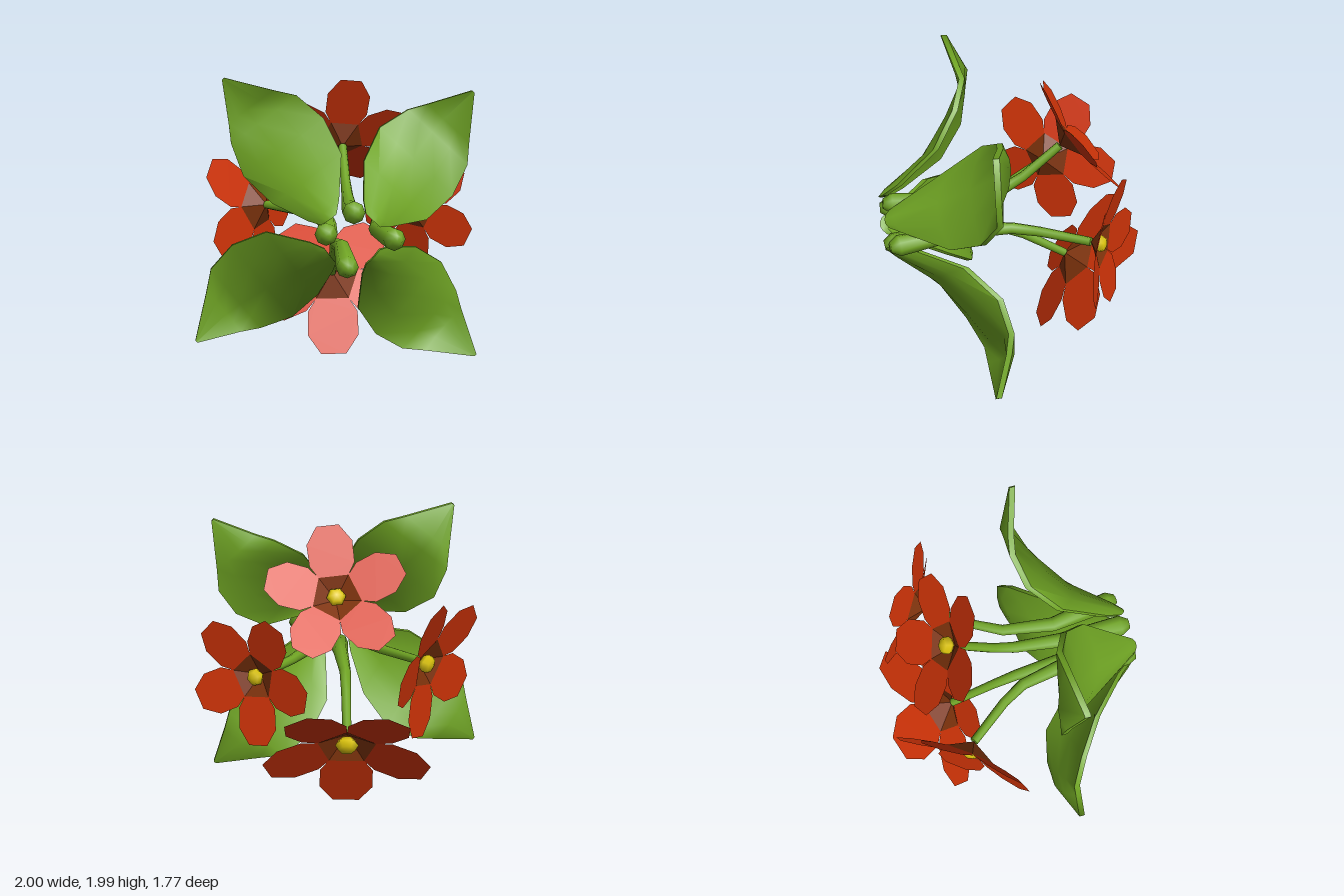
import * as THREE from 'three';
import { toCreasedNormals } from 'three/addons/utils/BufferGeometryUtils.js';

const V = (x, y, z) => new THREE.Vector3(x, y, z);
const mat = (name, color, side = THREE.FrontSide) => {
  const m = new THREE.MeshStandardMaterial({ color, side });
  m.name = name;
  return m;
};

// Closed solid through a list of rings, each running counterclockwise around the direction of travel
function loft(rings, crease) {
  const n = rings[0].length, pos = [], idx = [];
  rings.forEach(r => r.forEach(p => pos.push(p.x, p.y, p.z)));
  for (let i = 0; i < rings.length - 1; i++)
    for (let j = 0; j < n; j++) {
      const a = i * n + j, b = i * n + (j + 1) % n;
      idx.push(a, b, a + n, b, b + n, a + n);
    }
  const cap = (row, end) => {
    const c = V(0, 0, 0);
    rings[row].forEach(p => c.addScaledVector(p, 1 / n));
    const k = pos.length / 3;
    pos.push(c.x, c.y, c.z);
    for (let j = 0; j < n; j++) {
      const a = row * n + j, b = row * n + (j + 1) % n;
      end ? idx.push(k, a, b) : idx.push(k, b, a);
    }
  };
  cap(0, false);
  cap(rings.length - 1, true);
  const g = new THREE.BufferGeometry();
  g.setAttribute('position', new THREE.Float32BufferAttribute(pos, 3));
  g.setIndex(idx);
  return toCreasedNormals(g, crease);
}

// Bent stem that is thick and rounded at the root and thin below the bloom
function stemGeometry(points) {
  const [root, middle, bend, end] = points;
  const path = [root, root.clone().lerp(middle, 0.12), middle, bend, bend.clone().lerp(end, 0.3), end];
  path[4].z -= 0.03;
  const radii = [0.035, 0.073, 0.053, 0.04, 0.034, 0.03];
  const rings = path.map((p, i) => {
    const t = path[Math.min(i + 1, 5)].clone().sub(path[Math.max(i - 1, 0)]).normalize();
    const a = V(0, 1, 0).cross(t).normalize(), b = t.clone().cross(a);
    return Array.from({ length: 8 }, (_, j) => {
      const q = j * Math.PI / 4;
      return p.clone().addScaledVector(a, radii[i] * Math.cos(q)).addScaledVector(b, radii[i] * Math.sin(q));
    });
  });
  return loft(rings, 1.1);
}

// Twisted leaf: distance along, width of the broad and slim side, depth of broad edge, rib and slim edge
const LEAF = [
  [0.00, 0.06, 0.06, 0.85, 0.87, 0.83],
  [0.05, 0.13, 0.11, 0.75, 0.82, 0.72],
  [0.24, 0.32, 0.235, 0.50, 0.54, 0.41],
  [0.48, 0.37, 0.285, 0.345, 0.35, 0.225],
  [0.70, 0.32, 0.22, 0.26, 0.21, 0.175],
  [0.82, 0.218, 0.15, 0.27, 0.175, 0.20],
  [1.08, 0.01, 0.01, 0.29, 0.29, 0.29],
];
function leafGeometry([bx, by], [tx, ty]) {
  const len = Math.hypot(tx - bx, ty - by), dx = (tx - bx) / len, dy = (ty - by) / len;
  const across = [-1, -0.5, 0, 0.5, 1];
  const rings = LEAF.map(([s, broad, slim, zBroad, zRib, zSlim]) => {
    const d = s * len / 1.08;
    const at = (t, lift) => {
      const w = t * (t > 0 ? broad : slim);
      const z = zRib + t * (zBroad - zSlim) / 2 + t * t * ((zBroad + zSlim) / 2 - zRib);
      return V(bx + dx * d + dy * w, by + dy * d - dx * w, z + lift);
    };
    return [...across.map(t => at(t, 0.02)), ...across.slice().reverse().map(t => at(t, -0.02))];
  });
  return loft(rings, 0.9);
}

// Bloom parts for a flower of radius 1 that opens towards +z
function petalGeometry() {
  const s = new THREE.Shape([[-0.212, 0.29], [0.212, 0.29], [0.32, 0.46], [0.325, 0.76], [0.16, 1],
    [-0.16, 1], [-0.325, 0.76], [-0.32, 0.46]].map(p => new THREE.Vector2(...p)));
  const g = new THREE.ShapeGeometry(s), p = g.attributes.position;
  for (let i = 0; i < p.count; i++) p.setZ(i, 0.19 + (p.getY(i) - 0.29) * 0.21);
  g.computeVertexNormals();
  return g;
}
function throatGeometry() {
  const g = new THREE.ConeGeometry(0.362, 0.192, 5, 1, true);
  g.rotateX(-Math.PI / 2).rotateZ(Math.PI / 5).translate(0, 0, 0.096);
  return toCreasedNormals(g, 0.1);
}

export function createModel() {
  const model = new THREE.Group();
  model.name = 'floweringPlant';
  const green = mat('leafGreen', 0x70a524);
  const red = mat('petalRed', 0xd23408, THREE.DoubleSide);
  const brown = mat('throatBrown', 0x7e330c, THREE.DoubleSide);
  const yellow = mat('centreYellow', 0xdcc40c);
  const add = (parent, name, geo, material) => {
    const m = new THREE.Mesh(geo, material);
    m.name = name;
    parent.add(m);
    return m;
  };

  // Four leaves, from root to tip
  const leaves = {
    upperRightLeaf: [[-0.15, 1.13], [-0.79, 1.99]],
    upperLeftLeaf: [[0.13, 1.12], [0.87, 1.9]],
    lowerRightLeaf: [[-0.14, 0.9], [-0.99, 0.24]],
    lowerLeftLeaf: [[0.13, 0.89], [0.91, 0.1]],
  };
  for (const [name, [root, tip]] of Object.entries(leaves)) add(model, name, leafGeometry(root, tip), green);

  // Four flowers: stem path, facing direction, direction of the first petal, radius
  const flowers = [
    { name: 'upper', stem: [V(0.01, 1.17, 0.88), V(0.03, 1.14, 0.4), V(0.05, 1.19, 0.07), V(0.06, 1.49, -0.33)],
      face: V(0, 0.57, -0.82), petal: V(0.1, 0.82, 0.57), size: 0.465 },
    { name: 'lower', stem: [V(-0.03, 0.81, 0.88), V(-0.02, 0.88, 0.4), V(-0.03, 0.85, 0.07), V(-0.01, 0.57, -0.405)],
      face: V(0.06, -0.6, -0.8), petal: V(-0.03, -0.8, 0.6), size: 0.565 },
    { name: 'right', stem: [V(-0.17, 1.03, 0.88), V(-0.11, 1.04, 0.4), V(-0.18, 1.06, 0.07), V(-0.485, 1.075, -0.36)],
      face: V(-0.79, -0.18, -0.61), petal: V(0.61, -0.07, -0.79), size: 0.49 },
    { name: 'left', stem: [V(0.28, 0.99, 0.88), V(0.21, 1.0, 0.4), V(0.26, 1.01, 0.05), V(0.56, 1.02, -0.42)],
      face: V(0.55, 0, -0.83), petal: V(-0.82, -0.16, -0.54), size: 0.445 },
  ];
  const petal = petalGeometry(), throat = throatGeometry();
  const centre = new THREE.SphereGeometry(0.14, 6, 4).rotateX(Math.PI / 2).scale(1, 1, 0.7);
  for (const f of flowers) {
    add(model, f.name + 'Stem', stemGeometry(f.stem), green);
    const bloom = new THREE.Group();
    bloom.name = f.name + 'Bloom';
    const z = f.face.normalize(), x = f.petal.clone().cross(z).normalize(), y = z.clone().cross(x);
    bloom.quaternion.setFromRotationMatrix(new THREE.Matrix4().makeBasis(x, y, z));
    bloom.position.copy(f.stem[3]);
    bloom.scale.setScalar(f.size);
    add(bloom, 'throat', throat, brown);
    add(bloom, 'centre', centre, yellow).position.z = 0.15;
    for (let i = 0; i < 5; i++) add(bloom, 'petal' + (i + 1), petal, red).rotation.z = i * Math.PI * 0.4;
    model.add(bloom);
  }
  return model;
}
